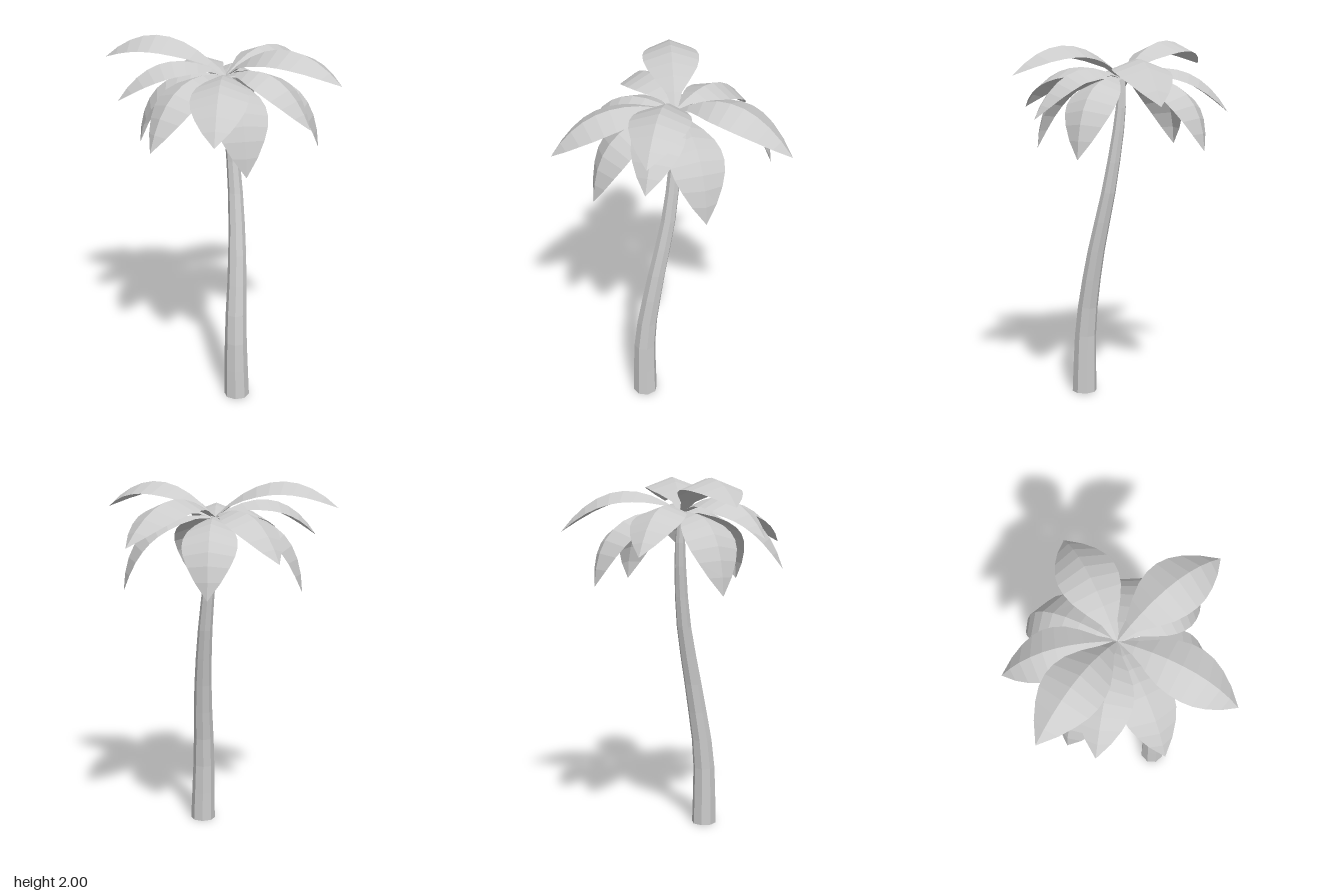
import * as THREE from 'three';

const material = new THREE.MeshStandardMaterial({ color: 0xcccccc, flatShading: true, side: THREE.DoubleSide });
const CROWN = new THREE.Vector3(-0.06, 1.8, -0.025);

// Tapered eight-sided open trunk, bent along a curve with level rings
function makeTrunk() {
  const path = [
    [-0.153, 0, 0.174], [-0.15, 0.4, 0.163], [-0.102, 0.8, 0.118],
    [-0.056, 1.2, 0.045], [-0.05, 1.6, -0.015], [-0.06, 1.8, -0.025],
  ];
  const curve = new THREE.CatmullRomCurve3(path.map(p => new THREE.Vector3(...p)));
  const geo = new THREE.CylinderGeometry(1, 1, 1, 8, 12, true);
  const pos = geo.attributes.position;
  for (let i = 0; i < pos.count; i++) {
    const t = pos.getY(i) + 0.5;
    const c = curve.getPoint(t);
    const r = THREE.MathUtils.lerp(0.07, 0.02, t);
    pos.setXYZ(i, c.x + pos.getX(i) * r, c.y, c.z + pos.getZ(i) * r);
  }
  geo.computeVertexNormals();
  const mesh = new THREE.Mesh(geo, material);
  mesh.name = 'trunk';
  return mesh;
}

// Half-width of a frond from root to tip, relative to its widest point
const OUTLINE = [0.08, 0.27, 0.62, 0.87, 0.98, 1, 0.93, 0.75, 0.46, 0];

// Folded frond: ridge on an arc, both edges hanging below it
function makeFrond([x, y, z, rise, reach, halfWidth]) {
  const tip = new THREE.Vector3(x, y, z);
  const control = CROWN.clone().lerp(tip, reach).setY(CROWN.y + rise);
  const arc = new THREE.QuadraticBezierCurve3(CROWN, control, tip);
  const side = new THREE.Vector3(z - CROWN.z, 0, CROWN.x - x).normalize();
  const points = [];
  const index = [];
  OUTLINE.forEach((width, i) => {
    const t = i / (OUTLINE.length - 1);
    const p = arc.getPoint(t);
    const up = arc.getTangent(t).cross(side).normalize();
    for (const s of [-1, 0, 1]) {
      const w = width * halfWidth * Math.abs(s);
      points.push(p.clone().addScaledVector(side, s * w).addScaledVector(up, -0.38 * w));
    }
    if (i === 0) return;
    for (const k of [0, 1]) {
      const a = (i - 1) * 3 + k;
      index.push(a, a + 1, a + 4, a, a + 4, a + 3);
    }
  });
  const geo = new THREE.BufferGeometry().setFromPoints(points);
  geo.setIndex(index);
  geo.computeVertexNormals();
  return new THREE.Mesh(geo, material);
}

// Tip x, y, z, rise of the arc, where the arc bends, half-width
const TIERS = {
  upperFrond: [
    [0.603, 1.69, -0.085, 0.275, 0.56, 0.152],
    [0.177, 1.83, 0.603, 0.345, 0.52, 0.153],
    [-0.452, 1.86, -0.567, 0.36, 0.52, 0.153],
  ],
  middleFrond: [
    [-0.607, 1.5, 0.035, 0.14, 0.76, 0.139],
    [-0.522, 1.615, 0.447, 0.165, 0.66, 0.147],
    [0.083, 1.59, 0.48, 0.17, 0.67, 0.137],
    [-0.557, 1.69, -0.31, 0.225, 0.62, 0.137],
    [0.03, 1.61, -0.607, 0.165, 0.65, 0.137],
  ],
  lowerFrond: [
    [0.325, 1.4, 0.29, 0.07, 0.97, 0.144],
    [0.325, 1.43, -0.39, 0.08, 0.97, 0.144],
    [-0.287, 1.4, 0.412, 0.07, 0.97, 0.144],
    [-0.36, 1.4, -0.4, 0.07, 0.97, 0.144],
  ],
};

export function createModel() {
  const model = new THREE.Group();
  model.name = 'palmTree';
  model.add(makeTrunk());

  const crown = new THREE.Group();
  crown.name = 'crown';
  for (const [name, fronds] of Object.entries(TIERS)) {
    fronds.forEach((spec, i) => {
      const frond = makeFrond(spec);
      frond.name = `${name}${i + 1}`;
      crown.add(frond);
    });
  }
  model.add(crown);
  return model;
}
